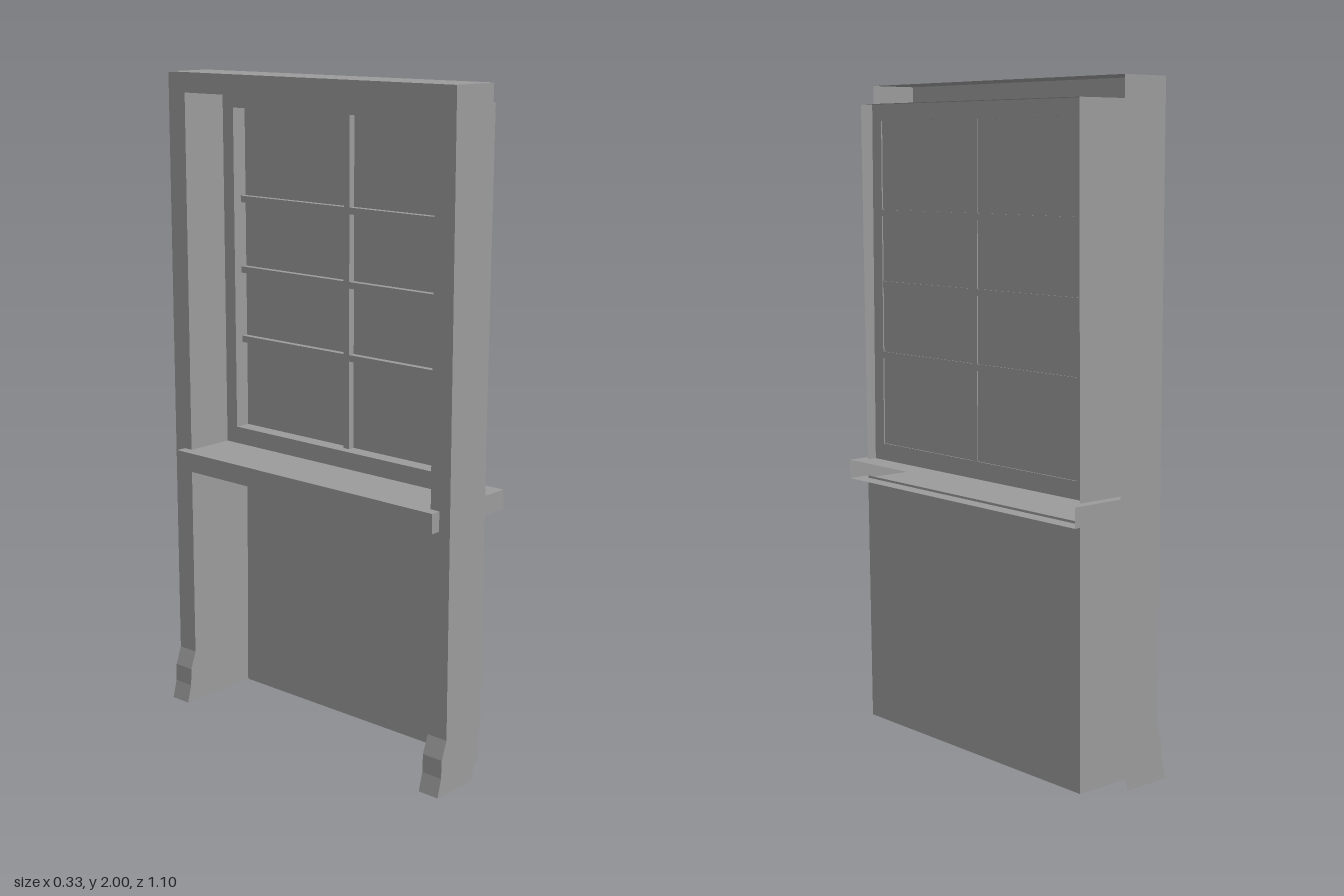
import * as THREE from 'three';

const material = new THREE.MeshStandardMaterial({
  color: 0x9b9b9b, flatShading: true, side: THREE.DoubleSide,
});

// Outer face of wall and casing leans slightly outward with height
const face = (y) => 0.11 + 0.011 * y;

export function createModel() {
  const model = new THREE.Group();

  const add = (name, geometry) => {
    const mesh = new THREE.Mesh(geometry, material);
    mesh.name = name;
    model.add(mesh);
  };

  // Folded sheet: a path of [x, y] points swept from z0 to z1
  const sheet = (name, path, z0, z1) => {
    const positions = [];
    for (let i = 0; i < path.length - 1; i++) {
      const [a, b] = [path[i], path[i + 1]];
      positions.push(...a, z0, ...b, z0, ...b, z1, ...a, z0, ...b, z1, ...a, z1);
    }
    const g = new THREE.BufferGeometry();
    g.setAttribute('position', new THREE.Float32BufferAttribute(positions, 3));
    g.computeVertexNormals();
    add(name, g);
  };

  // Flat plate outlined by [x, y] points at a given z
  const plate = (name, outline, z) => {
    const shape = new THREE.Shape(outline.map(([x, y]) => new THREE.Vector2(x, y)));
    add(name, new THREE.ShapeGeometry(shape).translate(0, 0, z));
  };

  const box = (name, size, x, y, z) =>
    add(name, new THREE.BoxGeometry(...size).translate(x, y, z));

  // Posts: channels with flared feet, open toward +x and at the bottom
  const inside = [[-0.128, 1.94], [-0.128, 0.165], [-0.148, 0.11], [-0.15, 0.055], [-0.165, 0]];
  const outside = [[-0.01, 0], [0.004, 0.055], [0.006, 0.11], [0.03, 0.165]];
  for (const s of [-1, 1]) {
    plate('postSide', [[-0.128, 2], ...inside, ...outside, [0.03, 2]], s * 0.551);
    plate('jamb', [...inside, [face(0), 0], [face(1.94), 1.94]], s * 0.482);
    sheet('postFace', inside, s * 0.482, s * 0.551);
  }

  // Head of the frame and its soffit
  sheet('headBeam', [[0.03, 2], [-0.128, 2], [-0.128, 1.94]], -0.551, 0.551);
  sheet('headSoffit', [[-0.128, 1.94], [face(1.94), 1.94]], -0.482, 0.482);

  // Sill running through the frame, open along its outer edge
  const sill = [[0.167, 0.778], [-0.16, 0.778], [-0.16, 0.837], [0.167, 0.837]];
  sheet('sill', sill, -0.513, 0.513);
  for (const s of [-1, 1]) plate('sillEnd', sill, s * 0.513);

  // Lower wall
  sheet('lowerWall', [[face(0), 0], [face(0.785), 0.785]], -0.482, 0.482);

  // Window surround, set back inside the casing
  const rectangle = (Type, w, y0, y1) => new Type([
    new THREE.Vector2(-w, y0), new THREE.Vector2(w, y0),
    new THREE.Vector2(w, y1), new THREE.Vector2(-w, y1),
  ]);
  const surround = rectangle(THREE.Shape, 0.482, 0.837, 1.94);
  surround.holes.push(rectangle(THREE.Path, 0.438, 0.89, 1.89));
  const ring = new THREE.ExtrudeGeometry(surround, { depth: 0.058, bevelEnabled: false });
  add('windowSurround', ring.rotateY(Math.PI / 2).translate(0.03, 0, 0));

  // Pane and glazing bars
  box('pane', [0.004, 1, 0.876], 0.082, 1.39, 0);
  box('verticalGlazingBar', [0.028, 1, 0.022], 0.073, 1.39, 0);
  for (const y of [1.17, 1.39, 1.61]) {
    box('horizontalGlazingBar', [0.028, 0.02, 0.876], 0.073, y, 0);
  }

  return model;
}
